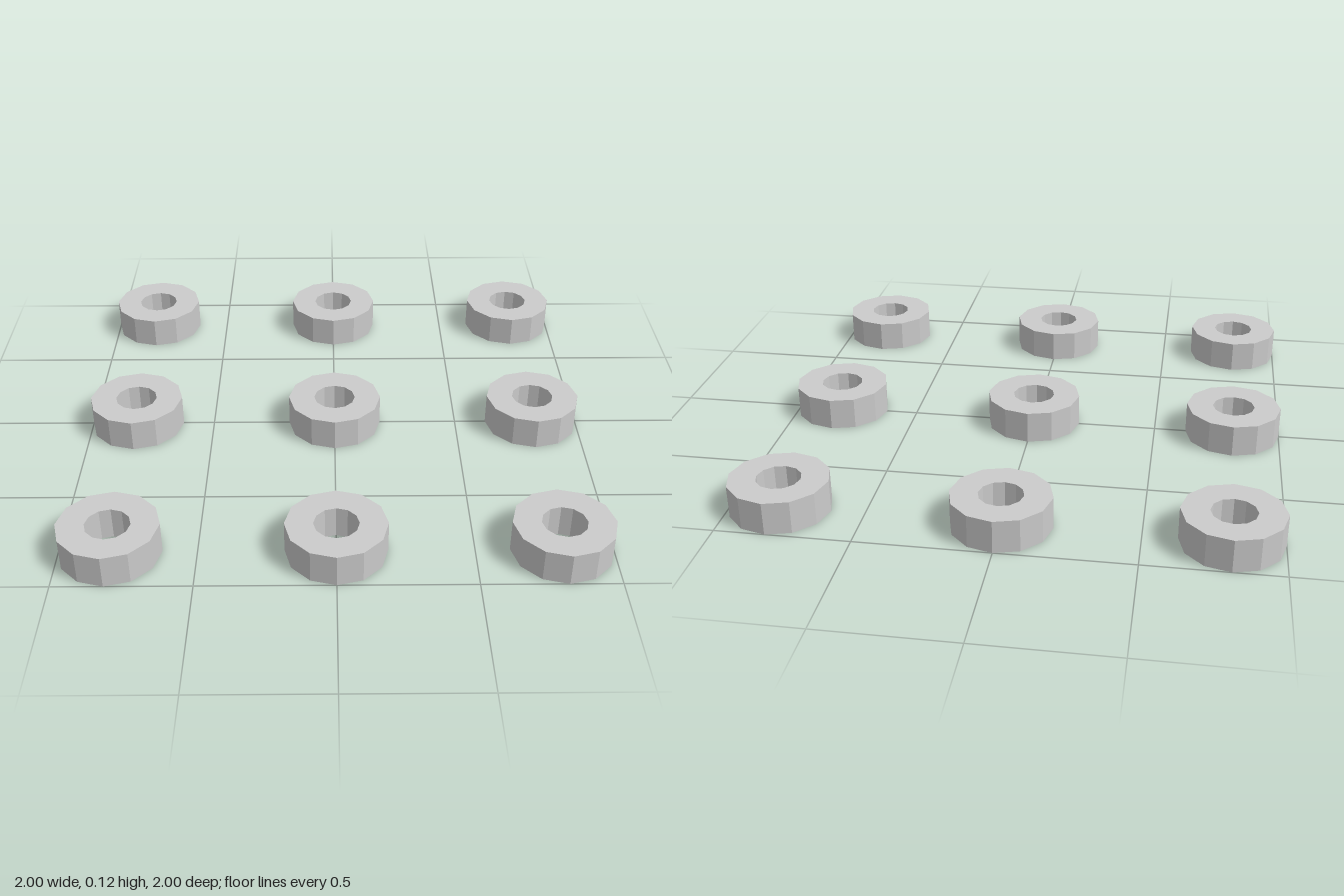
import * as THREE from 'three';

const OUTER = 0.187, INNER = 0.083, HEIGHT = 0.125, SPACING = 0.813, SIDES = 12;

export function createModel() {
  const group = new THREE.Group();
  group.name = 'ringGrid';

  const material = new THREE.MeshStandardMaterial({
    color: 0xcccccc, flatShading: true, side: THREE.DoubleSide,
  });

  // Outer wall, flat top and hole wall; the underside is open
  const profile = [
    [OUTER, 0], [OUTER, HEIGHT], [INNER, HEIGHT], [INNER, 0],
  ].map(([x, y]) => new THREE.Vector2(x, y));
  const ringGeometry = new THREE.LatheGeometry(profile, SIDES);

  // Three by three grid of rings
  for (let row = -1; row <= 1; row++) {
    for (let column = -1; column <= 1; column++) {
      const ring = new THREE.Mesh(ringGeometry, material);
      ring.name = `ringRow${row + 2}Column${column + 2}`;
      ring.position.set(column * SPACING, 0, row * SPACING);
      group.add(ring);
    }
  }
  return group;
}
